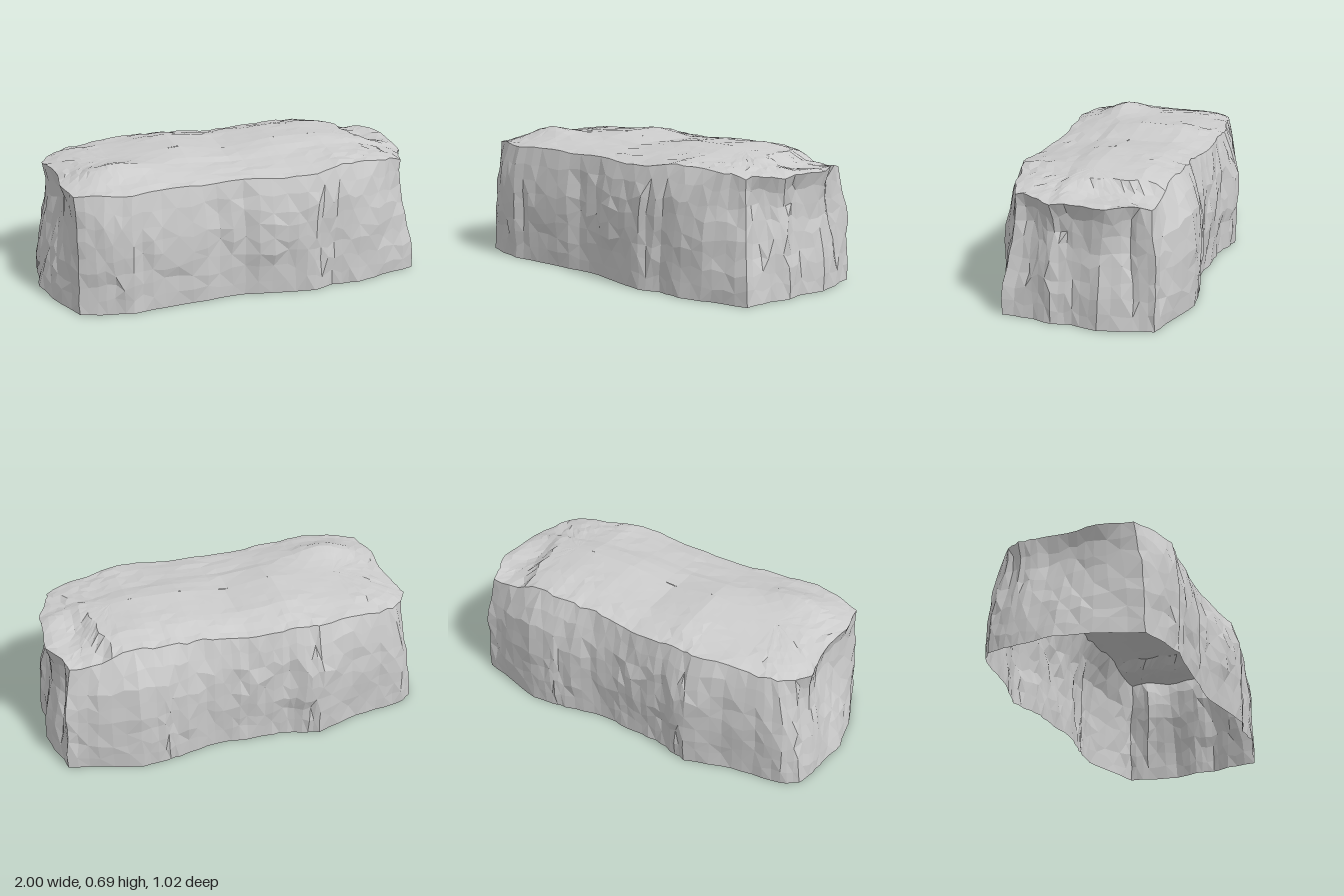
import * as THREE from 'three';

// Ground and rim outlines as matching (x, z) pairs, clockwise from the back left corner
const BASE = [-.95, -.34, -.87, -.39, -.72, -.41, -.55, -.44, -.37, -.5, -.28, -.48, -.17, -.45, -.04, -.45, .09, -.44,
  .22, -.44, .38, -.48, .45, -.49, .57, -.5, .78, -.44, .94, -.4, .96, -.3, 1, -.13, .97, 0, .98, .1, .95, .2, .94, .36,
  .75, .41, .59, .46, .45, .45, .34, .49, .19, .47, -.02, .43, -.22, .45, -.45, .47, -.61, .49, -.74, .47, -.87, .43,
  -.96, .2, -1, .02, -.98, -.13, -.97, -.24];
const RIM = [-.87, -.3, -.8, -.35, -.71, -.38, -.56, -.4, -.37, -.43, -.29, -.42, -.18, -.42, -.05, -.42, .09, -.4,
  .22, -.39, .35, -.4, .43, -.4, .57, -.38, .73, -.37, .89, -.37, .91, -.29, .97, -.17, .95, 0, .95, .11, .9, .2, .87, .3,
  .77, .34, .65, .36, .51, .4, .36, .44, .19, .42, -.02, .4, -.24, .42, -.45, .43, -.6, .46, -.73, .43, -.87, .37,
  -.9, .19, -.88, .03, -.9, -.13, -.92, -.22];
// Top heights on a 0.25 grid, rows from back to front
const TOP = [
  [.56, .58, .61, .61, .6, .61, .62, .6, .57],
  [.57, .63, .65, .675, .65, .67, .675, .65, .58],
  [.57, .635, .655, .68, .645, .68, .68, .65, .58],
  [.57, .645, .66, .64, .63, .635, .65, .63, .57],
  [.56, .585, .59, .59, .595, .585, .63, .6, .56],
];
const FRONT_CRACKS = [-.57, -.15, .37, .62];
const SUB = 3, COLS = (BASE.length / 2) * SUB, WALL = 8, RINGS = 9;
const { lerp, clamp, smoothstep } = THREE.MathUtils;

// Repeatable noise in -1..1
function noise(a, b, c) {
  const s = Math.sin(a * 127.1 + b * 311.7 + c * 74.7) * 43758.5453;
  return 2 * (s - Math.floor(s)) - 1;
}

// Position along an outline, subdivided between its points
function outline(list, i) {
  const n = list.length / 2, k = Math.floor(i / SUB), f = (i % SUB) / SUB, m = (k + 1) % n;
  return [lerp(list[2 * k], list[2 * m], f), lerp(list[2 * k + 1], list[2 * m + 1], f)];
}

// Height of the top: a peak at the front, a long ledge and a lower step at the back corner
function height(x, z) {
  const u = clamp((x + 1) * 4, 0, 7.999), v = clamp((z + .5) * 4, 0, 3.999);
  const i = Math.floor(u), j = Math.floor(v);
  const h = lerp(lerp(TOP[j][i], TOP[j][i + 1], u - i), lerp(TOP[j + 1][i], TOP[j + 1][i + 1], u - i), v - j);
  const peak = .03 * Math.exp(-(((x + .62) / .13) ** 2) - ((z - .2) / .1) ** 2);
  const line = .16 - .1 * x + .02 * Math.sin(x * 9);
  const ledge = smoothstep(z, line - .03, line + .03) - smoothstep(z, line - .2, line + .2);
  const edge = .74 + .22 * z;
  const step = smoothstep(x, edge, edge + .05) * (1 - smoothstep(x, .8, .97)) * (1 - smoothstep(z, -.1, .08));
  return h + peak - .012 * ledge - .04 * step;
}

// Cliff face: ends flare at the ground and pinch below the rim, long sides have a rounded shoulder
function wallPoint(i, j) {
  const b = outline(BASE, i), r = outline(RIM, i), t = j / WALL;
  const len = Math.hypot(r[0] * .35, r[1]);
  const nx = r[0] * .35 / len, nz = r[1] / len;
  const end = smoothstep(Math.abs(nx), .5, .8), belly = Math.sin(Math.PI * t);
  let d = (1 - end) * .016 * Math.sin(Math.PI * t ** 1.4) - end * .035 * Math.sin(Math.PI * t ** 2.5);
  // Upright ribs and cracks, then roughness
  d += .011 * noise(Math.floor(i / 2), 1, 2) * (.3 + .7 * belly);
  if (b[1] > .3) {
    for (const c of FRONT_CRACKS) d -= .022 * belly * Math.max(0, 1 - Math.abs(b[0] - c) / .05);
  }
  d += .005 * noise(i, j, 3) + .009 * belly * noise(Math.floor(i / 3 + j * .3), Math.floor(j / 3), 7);
  const inner = j > 0 && j < WALL;
  const slide = inner ? .006 * noise(i, Math.floor(j / 2), 9) : 0;
  const s = lerp(t ** 4, t ** .9, end);
  const x = clamp(lerp(b[0], r[0], s) + nx * d - nz * slide, -1, 1);
  const z = clamp(lerp(b[1], r[1], s) + nz * d + nx * slide, -.515, .515);
  const wobble = inner ? .018 * noise(i, j, 6) : 0;
  return [x, height(x, z) * t + wobble + (j === WALL ? .005 * noise(i, 5, 5) : 0), z];
}

// Row 0 is the ground edge, row WALL is the rim, later rows shrink to a spine along the top
function point(i, j) {
  i %= COLS;
  if (j <= WALL) return wallPoint(i, j);
  const rim = wallPoint(i, WALL), t = (j - WALL) / RINGS, fade = 1 - t;
  const x = lerp(rim[0], clamp(rim[0], -.6, .6), t) + .006 * fade * noise(i, j, 11);
  const z = lerp(rim[2], 0, t) + .006 * fade * noise(i, j, 12);
  return [x, height(x, z) + .006 * fade * noise(Math.floor(i / 2), j, 13), z];
}

// Surface between two rows
function surface(name, from, to, material) {
  const pos = [], index = [], stride = COLS + 1;
  for (let j = from; j <= to; j++) for (let i = 0; i <= COLS; i++) pos.push(...point(i, j));
  for (let j = 0; j < to - from; j++) {
    for (let i = 0; i < COLS; i++) {
      const a = j * stride + i, b = a + 1, c = a + stride, d = c + 1;
      if ((i + j) % 2) index.push(a, c, b, b, c, d);
      else index.push(a, c, d, a, d, b);
    }
  }
  const indexed = new THREE.BufferGeometry();
  indexed.setAttribute('position', new THREE.Float32BufferAttribute(pos, 3));
  indexed.setIndex(index);
  const geometry = indexed.toNonIndexed();
  geometry.computeVertexNormals();
  const mesh = new THREE.Mesh(geometry, material);
  mesh.name = name;
  return mesh;
}

export function createModel() {
  const stone = new THREE.MeshStandardMaterial({ color: 0xcccccc, flatShading: true, side: THREE.DoubleSide });
  const group = new THREE.Group();
  group.name = 'rock';
  // Open underneath: cliff sides and the weathered top only
  group.add(surface('cliffSides', 0, WALL, stone));
  group.add(surface('rockTop', WALL, WALL + RINGS, stone));
  return group;
}
